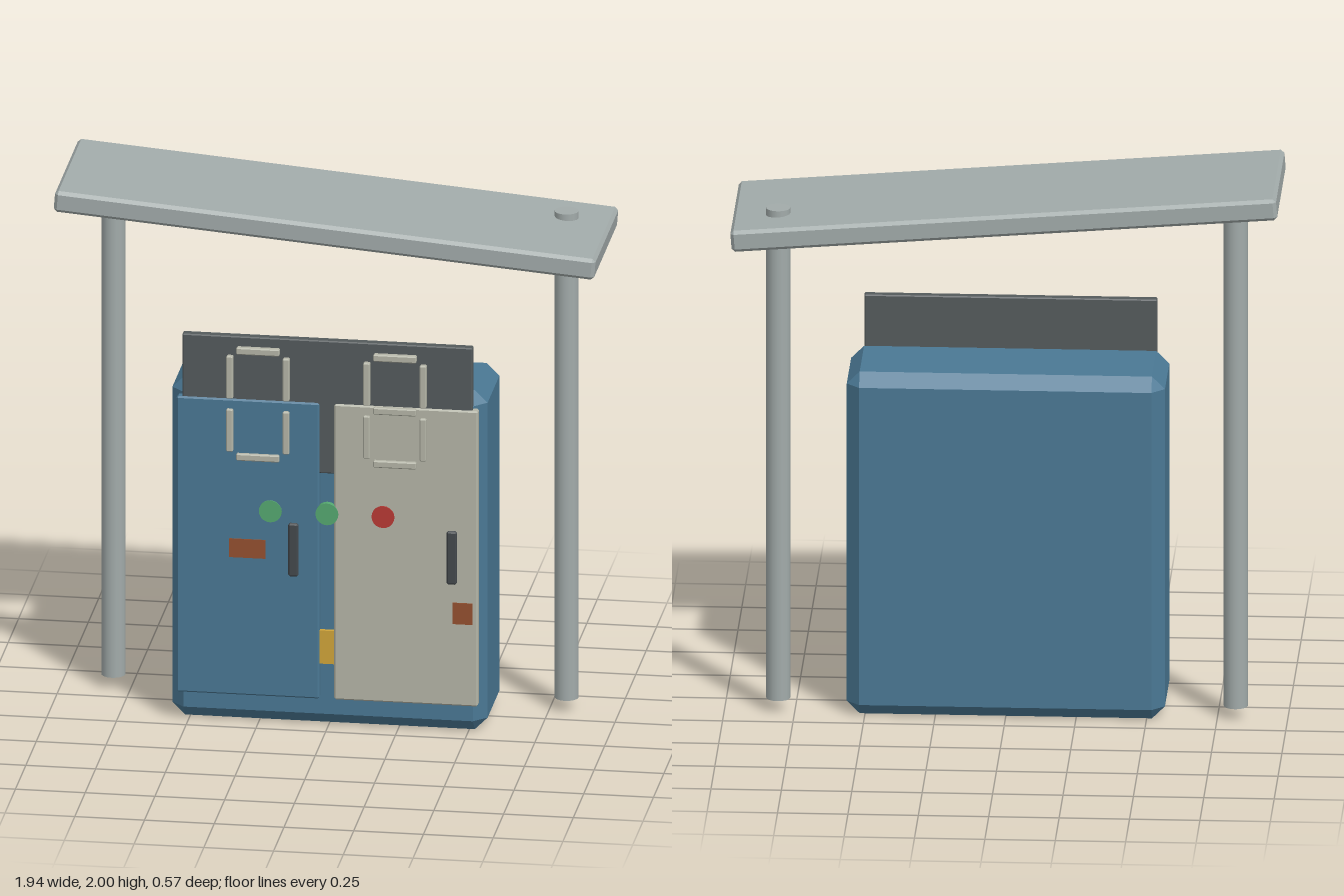
import * as THREE from 'three';
import { ConvexGeometry } from 'three/addons/geometries/ConvexGeometry.js';

const mat = (color) => new THREE.MeshStandardMaterial({ color });
const blue = mat(0x4a7894), steel = mat(0xa2abaa), dark = mat(0x545a5c), cream = mat(0xb4b5a7);
const black = mat(0x43484c), green = mat(0x55a870), red = mat(0xb83a35), rust = mat(0x94502f), yellow = mat(0xd0a43a);

// Box with 45 degree chamfers on every edge, as the hull of three corner points per corner
function chamferBox(w, h, d, c) {
  const points = [];
  for (const x of [-1, 1]) for (const y of [-1, 1]) for (const z of [-1, 1])
    for (const [a, b, e] of [[0, c, c], [c, 0, c], [c, c, 0]])
      points.push(new THREE.Vector3(x * (w / 2 - a), y * (h / 2 - b), z * (d / 2 - e)));
  return new ConvexGeometry(points);
}

export function createModel() {
  const model = new THREE.Group();
  model.name = 'shelteredCabinet';

  function add(name, geometry, material, x, y, z, parent = model) {
    const mesh = new THREE.Mesh(geometry, material);
    mesh.name = name;
    mesh.position.set(x, y, z);
    parent.add(mesh);
    return mesh;
  }
  // Block given by its limits; c is the chamfer, 0 for a plain box
  function block(name, material, [x0, x1], [y0, y1], [z0, z1], c = 0, parent = model) {
    const size = [x1 - x0, y1 - y0, z1 - z0];
    const geometry = c ? chamferBox(...size, c) : new THREE.BoxGeometry(...size);
    return add(name, geometry, material, (x0 + x1) / 2, (y0 + y1) / 2, (z0 + z1) / 2, parent);
  }

  // Cabinet body, dark display board and the two doors
  block('cabinetBody', blue, [-0.565, 0.565], [0, 1.28], [-0.185, 0.19], 0.046);
  block('displayBoard', dark, [-0.52, 0.52], [0.96, 1.46], [0.176, 0.21], 0.004);
  block('rightDoor', blue, [-0.54, -0.028], [0.11, 1.225], [0.18, 0.216], 0.006);
  block('leftDoor', cream, [0.025, 0.54], [0.11, 1.225], [0.18, 0.216], 0.006);
  block('yellowLabel', yellow, [-0.03, 0.027], [0.24, 0.365], [0.18, 0.205]);

  // Raised seven-segment digits
  function digit(name, cx, bars) {
    const group = new THREE.Group();
    group.name = name;
    model.add(group);
    for (const y of bars)
      block('horizontalSegment', cream, [cx - 0.077, cx + 0.077], [y - 0.013, y + 0.013], [0.205, 0.23], 0.004, group);
    for (const x of [cx - 0.101, cx + 0.101]) for (const y of [1.11, 1.31])
      block('verticalSegment', cream, [x - 0.012, x + 0.012], [y - 0.08, y + 0.08], [0.205, 0.23], 0.004, group);
  }
  digit('rightDigit', -0.247, [1.011, 1.411]);
  digit('leftDigit', 0.244, [1.011, 1.211, 1.411]);

  // Round buttons across the front
  [[-0.203, green], [0, green], [0.201, red]].forEach(([x, material]) => {
    const geometry = new THREE.CylinderGeometry(0.041, 0.041, 0.02, 20).rotateX(Math.PI / 2);
    add('button', geometry, material, x, 0.81, 0.211);
  });

  // Door handles and rust patches
  for (const x of [-0.12, 0.448])
    block('doorHandle', black, [x - 0.018, x + 0.018], [0.57, 0.77], [0.205, 0.229], 0.006);
  block('rustPatch', rust, [-0.35, -0.22], [0.63, 0.7], [0.21, 0.22]);
  block('rustPatch', rust, [0.45, 0.522], [0.42, 0.5], [0.21, 0.22]);

  // Posts; the one on the low side of the roof pokes through it
  for (const x of [-0.815, 0.81])
    add('post', new THREE.CylinderGeometry(0.043, 0.043, 1.835, 16), steel, x, 0.9625, -0.113);

  // Sloping roof slab
  const roof = add('roof', chamferBox(1.944, 0.079, 0.57, 0.012), steel, 0, 1.882, 0);
  roof.rotation.z = -0.08;

  return model;
}
